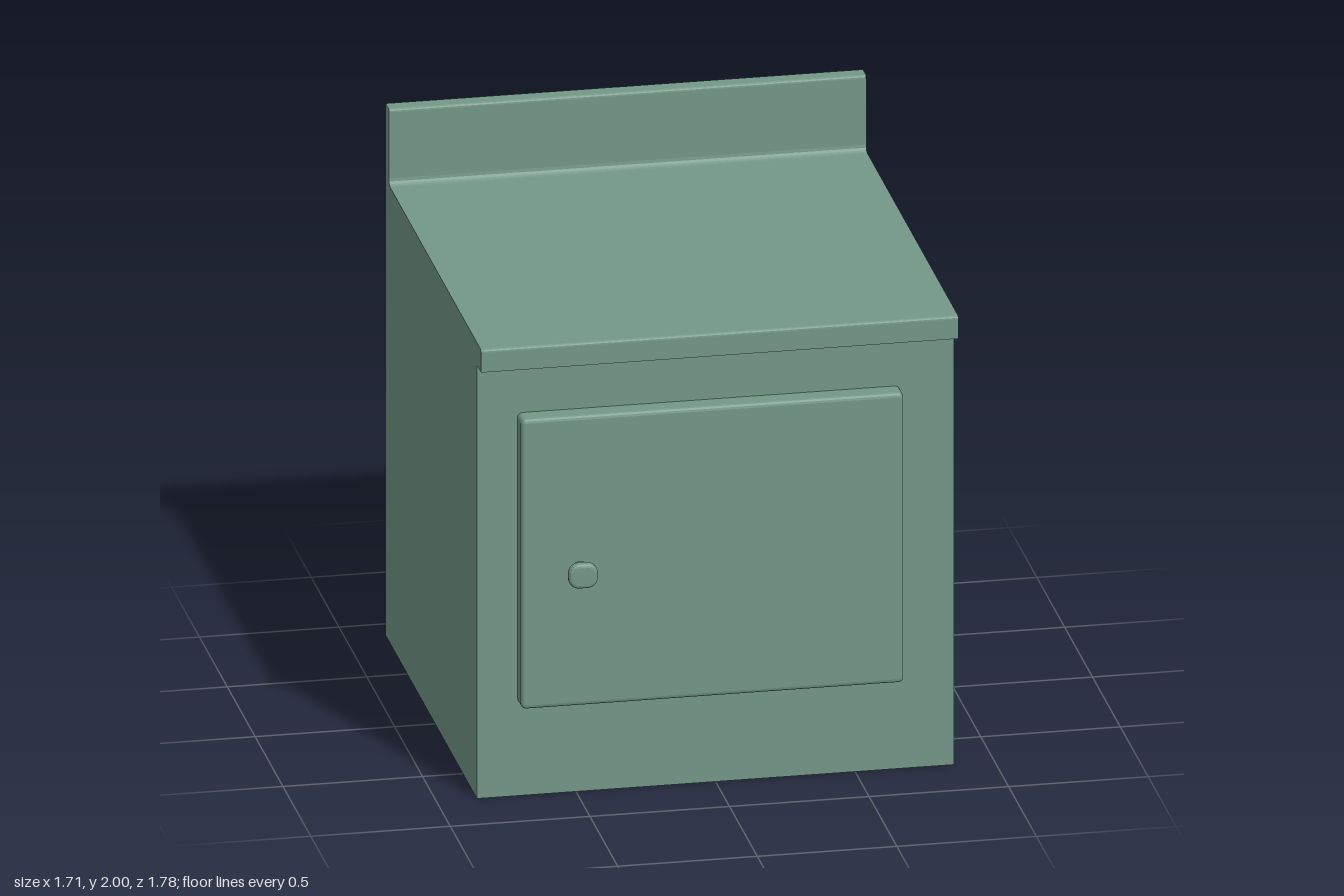
import * as THREE from 'three';

const material = new THREE.MeshStandardMaterial({ color: 0x739888 });

// Rectangle with rounded corners, centred on the origin
function roundedRect(w, h, r) {
  const s = new THREE.Shape();
  const x = w / 2, y = h / 2;
  s.moveTo(-x + r, -y);
  s.lineTo(x - r, -y);
  s.quadraticCurveTo(x, -y, x, -y + r);
  s.lineTo(x, y - r);
  s.quadraticCurveTo(x, y, x - r, y);
  s.lineTo(-x + r, y);
  s.quadraticCurveTo(-x, y, -x, y - r);
  s.lineTo(-x, -y + r);
  s.quadraticCurveTo(-x, -y, -x + r, -y);
  return s;
}

// Bevelled slab whose full size is w by h, spanning z0 to z1
function slab(name, w, h, r, bevel, z0, z1, x, y) {
  const geometry = new THREE.ExtrudeGeometry(roundedRect(w - 2 * bevel, h - 2 * bevel, r), {
    depth: z1 - z0 - 2 * bevel, bevelEnabled: true, bevelSize: bevel,
    bevelThickness: bevel, bevelSegments: 3, curveSegments: 5,
  });
  const mesh = new THREE.Mesh(geometry, material);
  mesh.name = name;
  mesh.position.set(x, y, z0 + bevel);
  return mesh;
}

export function createModel() {
  const model = new THREE.Group();
  model.name = 'cabinet';

  // Side profile (z, y): carcass, overhanging worktop lip and coved backsplash
  const profile = new THREE.Shape();
  profile.moveTo(-0.89, 0);
  profile.lineTo(0.75, 0);
  profile.lineTo(0.75, 1.63);
  profile.lineTo(0.825, 1.63);
  profile.lineTo(0.825, 1.703);
  profile.quadraticCurveTo(0.825, 1.715, 0.813, 1.715);
  profile.lineTo(-0.805, 1.715);
  profile.quadraticCurveTo(-0.83, 1.715, -0.83, 1.74);
  profile.lineTo(-0.83, 1.988);
  profile.quadraticCurveTo(-0.83, 2, -0.842, 2);
  profile.lineTo(-0.89, 2);
  profile.closePath();
  const bodyGeometry = new THREE.ExtrudeGeometry(profile, { depth: 1.71, bevelEnabled: false, curveSegments: 4 });
  bodyGeometry.rotateY(-Math.PI / 2).translate(0.855, 0, 0);
  const body = new THREE.Mesh(bodyGeometry, material);
  body.name = 'cabinetBody';
  model.add(body);

  // Door, with its rear bevel sunk into the carcass
  model.add(slab('door', 1.37, 1.09, 0.004, 0.015, 0.73, 0.825, -0.025, 0.895));

  // Knob: round stem and soft-cornered head
  const knob = new THREE.Group();
  knob.name = 'knob';
  const stem = new THREE.Mesh(new THREE.CylinderGeometry(0.034, 0.034, 0.05, 24), material);
  stem.name = 'knobStem';
  stem.rotation.x = Math.PI / 2;
  stem.position.set(-0.5, 0.86, 0.84);
  knob.add(stem, slab('knobHead', 0.105, 0.092, 0.028, 0.013, 0.855, 0.893, -0.5, 0.86));
  model.add(knob);

  return model;
}
